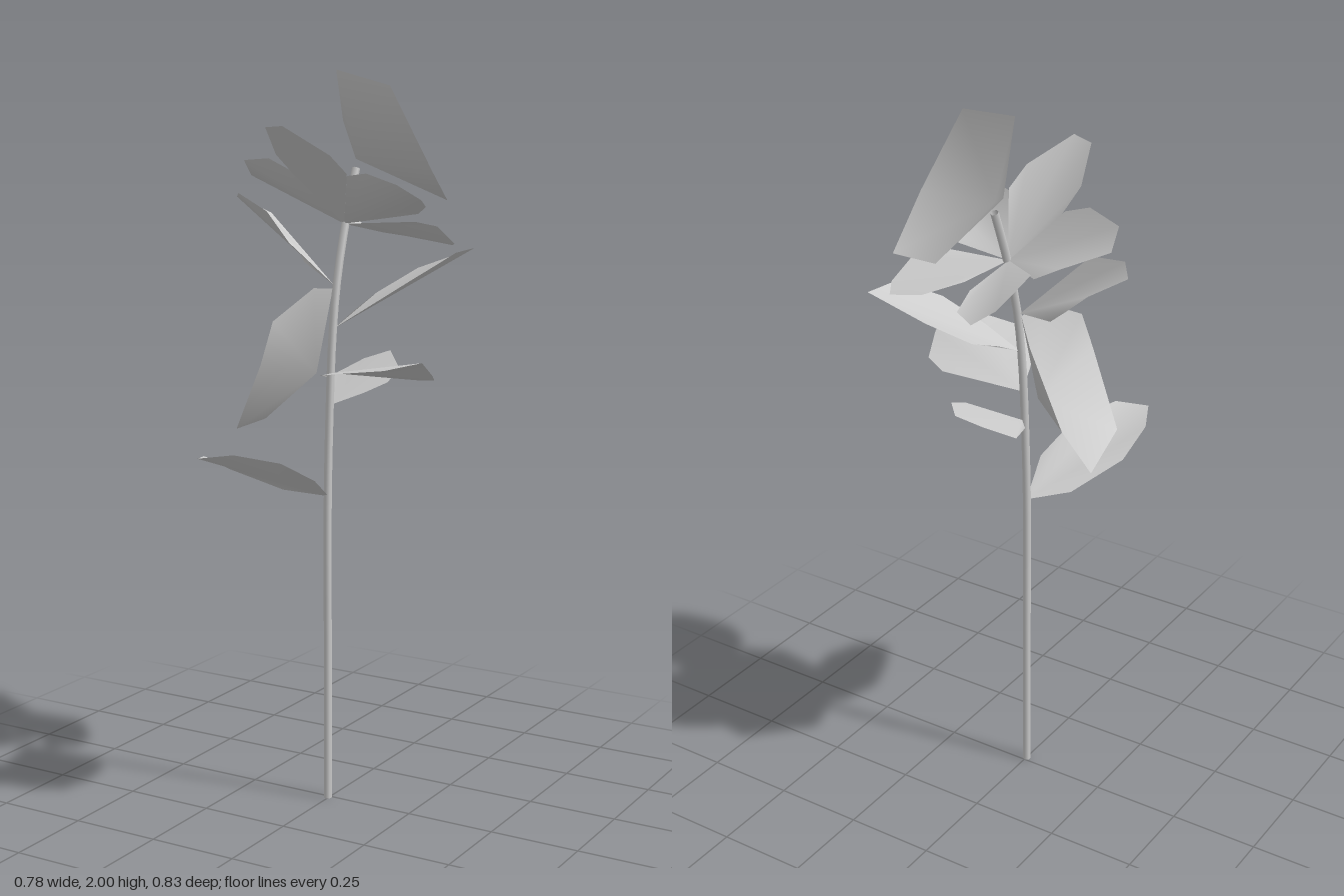
import * as THREE from 'three';

const material = new THREE.MeshStandardMaterial({ color: 0xcccccc, side: THREE.DoubleSide });

// Thin blade: a smooth fan from one point to a rim. Open ones fan out from the stem,
// closed ones form a shallow cup around the point.
function blade(name, base, rim, closed = false) {
  const n = rim.length;
  const index = [];
  for (let i = 1; i < n; i++) index.push(0, i, i + 1);
  if (closed) index.push(0, n, 1);
  const geometry = new THREE.BufferGeometry();
  geometry.setAttribute('position', new THREE.Float32BufferAttribute([base, ...rim].flat(), 3));
  geometry.setIndex(index);
  geometry.computeVertexNormals();
  const mesh = new THREE.Mesh(geometry, material);
  mesh.name = name;
  return mesh;
}

// Slender stalk, straight below and bowing backwards towards the flower
function stem() {
  const path = new THREE.CatmullRomCurve3([
    [0, 0, 0.01], [0, 0.45, 0.01], [0, 0.85, 0.01], [0, 1.1, 0], [0, 1.3, -0.015],
    [0, 1.45, -0.04], [0, 1.6, -0.085], [0, 1.74, -0.14],
  ].map(p => new THREE.Vector3(p[0] - 0.002, p[1], p[2])));
  const mesh = new THREE.Mesh(new THREE.TubeGeometry(path, 28, 0.011, 6), material);
  mesh.name = 'stem';
  return mesh;
}

export function createModel() {
  const model = new THREE.Group();
  model.name = 'flower';
  model.add(stem());

  // Ring of petals, each starting at the same point on the stem
  const petals = new THREE.Group();
  petals.name = 'petals';
  const heart = [-0.004, 1.595, -0.08];
  petals.add(
    blade('frontPetal', heart, [[-0.125, 1.722, -0.025], [-0.14, 1.78, 0.045], [-0.1, 1.855, 0.16],
      [-0.033, 1.86, 0.185], [0.06, 1.785, 0.105], [0.075, 1.735, 0.043]]),
    blade('rightPetal', heart, [[-0.16, 1.62, -0.207], [-0.24, 1.665, -0.213], [-0.345, 1.71, -0.153],
      [-0.33, 1.755, -0.092], [-0.217, 1.765, -0.04], [-0.137, 1.735, -0.025]]),
    blade('leftPetal', heart, [[0.075, 1.73, 0.043], [0.15, 1.74, 0.074], [0.25, 1.715, 0.094],
      [0.292, 1.675, 0.04], [0.25, 1.65, -0.065], [0.21, 1.628, -0.1]]),
    blade('backLeftPetal', heart, [[0.19, 1.605, -0.12], [0.225, 1.59, -0.18], [0.245, 1.54, -0.243],
      [0.21, 1.53, -0.3], [0.12, 1.545, -0.29], [0.05, 1.565, -0.2]]),
    blade('backRightPetal', heart, [[0, 1.57, -0.25], [-0.03, 1.555, -0.35], [-0.104, 1.555, -0.4],
      [-0.16, 1.595, -0.375], [-0.168, 1.62, -0.31], [-0.16, 1.635, -0.22]]),
  );
  model.add(petals);

  // Broad cupped petal opening from the stem tip
  model.add(blade('crownPetal', [0, 1.765, -0.135], [[0.248, 1.74, -0.103], [0.186, 1.65, -0.313],
    [-0.017, 1.7, -0.418], [-0.15, 1.86, -0.325], [-0.07, 2, -0.15], [0.146, 1.96, -0.057]], true));

  // Leaves along the stalk, from the top down
  const leaves = new THREE.Group();
  leaves.name = 'leaves';
  leaves.add(
    blade('upperRightLeaf', [-0.01, 1.435, -0.035], [[-0.16, 1.48, -0.13], [-0.24, 1.545, -0.19],
      [-0.31, 1.605, -0.2], [-0.39, 1.65, -0.147], [-0.345, 1.665, -0.085], [-0.205, 1.625, -0.01],
      [-0.125, 1.545, 0.005]]),
    blade('hangingLeaf', [-0.052, 1.195, -0.015], [[-0.01, 1.425, -0.03], [-0.11, 1.4, -0.145],
      [-0.237, 1.22, -0.195], [-0.245, 1.045, -0.06], [-0.187, 1.06, 0.175], [-0.068, 1.25, 0.24],
      [-0.055, 1.36, 0.2], [-0.015, 1.435, 0.06]], true),
    blade('upperLeftLeaf', [0, 1.32, -0.02], [[0.1, 1.385, -0.04], [0.2, 1.455, -0.085],
      [0.24, 1.49, -0.143], [0.268, 1.52, -0.207], [0.274, 1.525, -0.307], [0.115, 1.465, -0.28],
      [0.03, 1.4, -0.2], [0.015, 1.36, -0.1]]),
    blade('middleLeftLeaf', [0, 1.2, -0.01], [[0.05, 1.21, 0.107], [0.106, 1.235, 0.23],
      [0.18, 1.25, 0.262], [0.3, 1.265, 0.247], [0.388, 1.287, 0.21], [0.37, 1.24, 0.118],
      [0.323, 1.21, 0.017], [0.25, 1.2, -0.02]]),
    blade('backLeaf', [0, 1.115, -0.01], [[0.07, 1.145, -0.06], [0.12, 1.172, -0.1], [0.12, 1.2, -0.168],
      [0.03, 1.23, -0.28], [-0.04, 1.205, -0.255], [-0.1, 1.165, -0.195], [-0.06, 1.14, -0.09]]),
    blade('lowerFrontLeaf', [0, 0.865, 0.01], [[-0.1, 0.885, 0.08], [-0.19, 0.955, 0.205],
      [-0.195, 1.01, 0.32], [-0.15, 1.025, 0.415], [-0.067, 1.035, 0.373], [0.005, 1, 0.26],
      [0.035, 0.935, 0.14]]),
  );
  model.add(leaves);
  return model;
}
